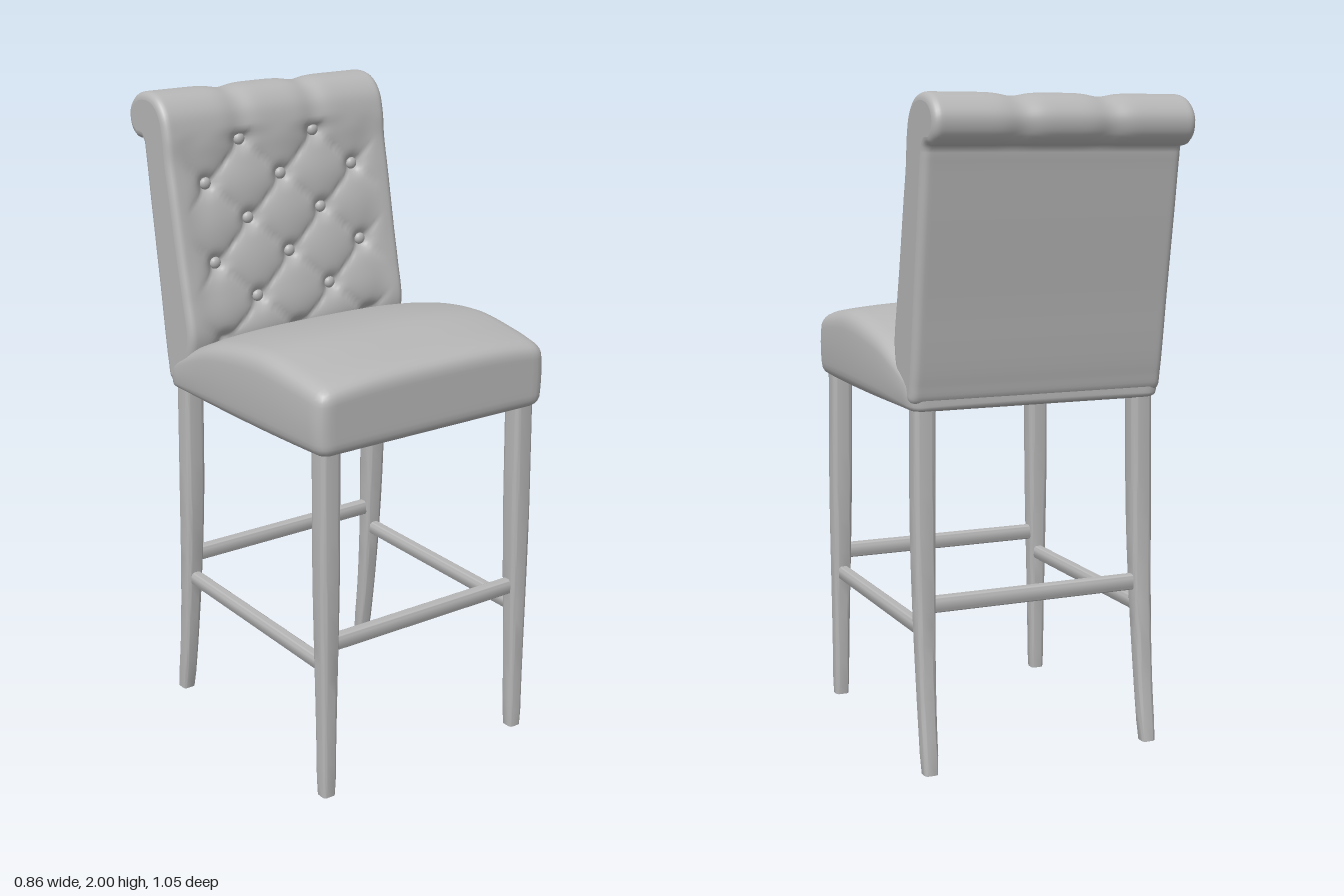
import * as THREE from 'three';
import { mergeVertices, toCreasedNormals } from 'three/addons/utils/BufferGeometryUtils.js';

const { clamp, lerp, smoothstep } = THREE.MathUtils;
const grey = new THREE.MeshStandardMaterial({ color: 0xb6b6b6 });
grey.name = 'soft grey';

function add(parent, name, geometry) {
  const mesh = new THREE.Mesh(geometry, grey);
  mesh.name = name;
  parent.add(mesh);
  return mesh;
}

// Move every vertex of a geometry by a rule
function reshape(geometry, rule) {
  const pos = geometry.attributes.position;
  const p = new THREE.Vector3();
  for (let i = 0; i < pos.count; i++) {
    rule(p.fromBufferAttribute(pos, i));
    pos.setXYZ(i, p.x, p.y, p.z);
  }
  return geometry;
}

// Smooth interpolation through [position, value] pairs
function curveThrough(pairs) {
  return (t) => {
    let i = 0;
    while (i < pairs.length - 2 && t > pairs[i + 1][0]) i++;
    const [a, b] = [pairs[i], pairs[i + 1]];
    const slope = (k) => {
      const lo = pairs[Math.max(k - 1, 0)], hi = pairs[Math.min(k + 1, pairs.length - 1)];
      return (hi[1] - lo[1]) / (hi[0] - lo[0]);
    };
    const h = b[0] - a[0], s = clamp((t - a[0]) / h, 0, 1);
    const s2 = s * s, s3 = s2 * s;
    return (2 * s3 - 3 * s2 + 1) * a[1] + (s3 - 2 * s2 + s) * h * slope(i)
      + (3 * s2 - 2 * s3) * b[1] + (s3 - s2) * h * slope(i + 1);
  };
}

// Bar with a rounded rectangular section, running along +z
function bar(w, h, r, length, steps) {
  const s = new THREE.Shape();
  const x = w / 2 - r, y = h / 2 - r;
  s.absarc(x, y, r, 0, Math.PI / 2);
  s.absarc(-x, y, r, Math.PI / 2, Math.PI);
  s.absarc(-x, -y, r, Math.PI, Math.PI * 1.5);
  s.absarc(x, -y, r, Math.PI * 1.5, Math.PI * 2);
  return new THREE.ExtrudeGeometry(s, { depth: length, steps, bevelEnabled: false, curveSegments: 4 });
}

// Seat cushion: a rounded box with a crowned top that falls away at the rear
function seatGeometry() {
  const half = new THREE.Vector3(0.43, 0.115, 0.425), r = 0.04;
  const inner = half.clone().subScalar(r);
  const top = curveThrough([[-0.33, 1.185], [-0.19, 1.26], [-0.05, 1.315], [0.2, 1.355], [0.4, 1.338], [0.525, 1.315]]);
  let geo = new THREE.BoxGeometry(half.x * 2, half.y * 2, half.z * 2, 44, 14, 44);
  geo.deleteAttribute('uv');
  geo.deleteAttribute('normal');
  geo = mergeVertices(geo, 1e-5);
  reshape(geo, (p) => {
    const core = p.clone().clamp(inner.clone().negate(), inner);
    p.sub(core).setLength(r).add(core);
    const t = (p.y + half.y) / (2 * half.y);
    const bottom = lerp(1.085, 1.098, (p.z + half.z) / (2 * half.z));
    const side = Math.abs(p.x) / half.x;
    p.z += 0.098;
    p.x *= 1 - 0.04 * ((p.z - 0.13) / 0.42) ** 2 - 0.02 * (2 * t - 1) ** 2;
    p.y = lerp(bottom, top(p.z) - 0.025 * side ** 3, t);
  });
  geo.computeVertexNormals();
  return geo;
}

// Tufting lattice: columns 0.275 apart, rows 0.12 apart
const COL = 0.275, ROW = 0.12, MID = 1.605;
function tuftDepth(x, y) {
  const u = x / COL, v = (y - MID - ROW) / (2 * ROW);
  const [p, q] = [(u + v) * Math.PI, (u - v) * Math.PI];
  const crease = 1 - Math.sqrt(Math.abs(Math.sin(p) * Math.sin(q)));
  const pit = (Math.cos(p) * Math.cos(q)) ** 8;
  const fade = (1 - smoothstep(Math.abs(x), 0.28, 0.375)) * (1 - smoothstep(y, 1.845, 1.89));
  return (0.02 * crease + 0.022 * pit) * fade;
}

// Backrest: a scrolled side profile swept across the width
function buildBackrest() {
  const group = new THREE.Group();
  group.name = 'backrest';
  const outline = [
    [-0.21, 1.17], [-0.178, 1.27], [-0.2, 1.4], [-0.222, 1.5], [-0.262, 1.7], [-0.283, 1.8],
    [-0.292, 1.88], [-0.312, 1.945], [-0.355, 1.988], [-0.42, 2.0], [-0.485, 1.982], [-0.522, 1.935],
    [-0.515, 1.882], [-0.48, 1.853], [-0.442, 1.85], [-0.435, 1.82], [-0.41, 1.65], [-0.375, 1.42],
    [-0.338, 1.17], [-0.322, 1.115], [-0.28, 1.11],
  ].map(([z, y]) => new THREE.Vector3(0, y, z));
  const curve = new THREE.CatmullRomCurve3(outline, true, 'centripetal');
  const m = 180, ring = curve.getSpacedPoints(m).slice(0, m);
  const normals = ring.map((_, j) => {
    const t = ring[(j + 1) % m].clone().sub(ring[(j + m - 1) % m]);
    return new THREE.Vector3(0, -t.z, t.y).normalize();
  });

  // Stations across the width, with rounded ends given as [x, inset]
  const R = 0.024, W = 0.41, stations = [];
  for (let k = 0; k <= 5; k++) {
    const a = (k / 5) * Math.PI / 2;
    stations.push([-W + R - R * Math.cos(a), R * (1 - Math.sin(a))]);
  }
  const n = 76;
  for (let k = 1; k < n; k++) stations.push([(W - R) * (2 * k / n - 1), 0]);
  for (let k = 5; k >= 0; k--) stations.push([-stations[k][0], stations[k][1]]);

  const pos = [], idx = [];
  stations.forEach(([x, inset], i) => {
    ring.forEach((c, j) => {
      let d = inset;
      if (normals[j].z > 0.2 && c.y > 1.2) d += tuftDepth(x, c.y);
      // Soft gathers running over the scroll
      if (c.z < -0.28 && c.y > 1.84) {
        d += 0.01 * Math.exp(-(((Math.abs(x) - COL / 2) / 0.045) ** 2)) * smoothstep(c.y, 1.84, 1.89);
      }
      pos.push(x, c.y - normals[j].y * d, c.z - normals[j].z * d);
      if (i < stations.length - 1) {
        const a = i * m + j, b = i * m + (j + 1) % m;
        idx.push(a, a + m, b + m, a, b + m, b);
      }
    });
  });
  const geo = new THREE.BufferGeometry();
  geo.setAttribute('position', new THREE.Float32BufferAttribute(pos, 3));
  geo.setIndex(idx);
  geo.computeVertexNormals();
  add(group, 'backCushion', geo);

  // End panels of the scroll
  for (const side of [-1, 1]) {
    const pts = ring.map((c, j) => new THREE.Vector2(-side * (c.z - normals[j].z * R), c.y - normals[j].y * R));
    const cap = new THREE.ShapeGeometry(new THREE.Shape(pts));
    cap.rotateY(side * Math.PI / 2).translate(side * W, 0, 0);
    add(group, 'backEndPanel', cap);
  }

  // Buttons in alternating rows of two and three
  const buttonGeo = new THREE.SphereGeometry(0.019, 16, 10).scale(1, 1, 0.7);
  for (let row = -2; row <= 2; row++) {
    const y = MID + row * ROW;
    const columns = row % 2 ? [-1, 0, 1] : [-0.5, 0.5];
    const z = ring.reduce((best, c, j) => (normals[j].z > 0.5
      && Math.abs(c.y - y) < Math.abs(best.y - y) ? c : best)).z;
    for (const c of columns) add(group, 'button', buttonGeo).position.set(c * COL, y, z - 0.03);
  }
  return group;
}

// Tapered leg whose centre line follows z(y)
function legGeometry(side, zAt) {
  const height = 1.12;
  const geo = bar(1, 1, 0.26, height, 20).rotateX(-Math.PI / 2);
  reshape(geo, (p) => {
    const t = p.y / height;
    const size = lerp(0.048, 0.068, smoothstep(t, 0, 0.75)) * (p.y < 0.001 ? 0.9 : 1);
    p.x = side * lerp(0.367, 0.357, t) + p.x * size;
    p.z = zAt(p.y) + p.z * size;
  });
  return toCreasedNormals(geo, 0.7);
}

export function createModel() {
  const model = new THREE.Group();
  model.name = 'tuftedBarChair';
  add(model, 'seat', seatGeometry());
  model.add(buildBackrest());

  // Legs: straight in front, swept back behind
  const frontZ = curveThrough([[0, 0.48], [1.12, 0.467]]);
  const rearZ = curveThrough([[0, -0.348], [0.2, -0.321], [0.45, -0.299], [0.75, -0.285], [1.12, -0.28]]);
  for (const side of [-1, 1]) {
    add(model, 'frontLeg', legGeometry(side, frontZ));
    add(model, 'rearLeg', legGeometry(side, rearZ));
    const rail = toCreasedNormals(bar(0.036, 0.045, 0.012, 0.76, 1), 0.7);
    add(model, 'sideRail', rail).position.set(side * 0.362, 0.428, -0.295);
  }

  // Cross rails between the legs
  for (const [name, y, z] of [['frontRail', 0.5, 0.472], ['rearRail', 0.505, -0.296]]) {
    const rail = toCreasedNormals(bar(0.036, 0.05, 0.012, 0.7, 1).rotateY(Math.PI / 2), 0.7);
    add(model, name, rail).position.set(-0.35, y, z);
  }
  return model;
}
